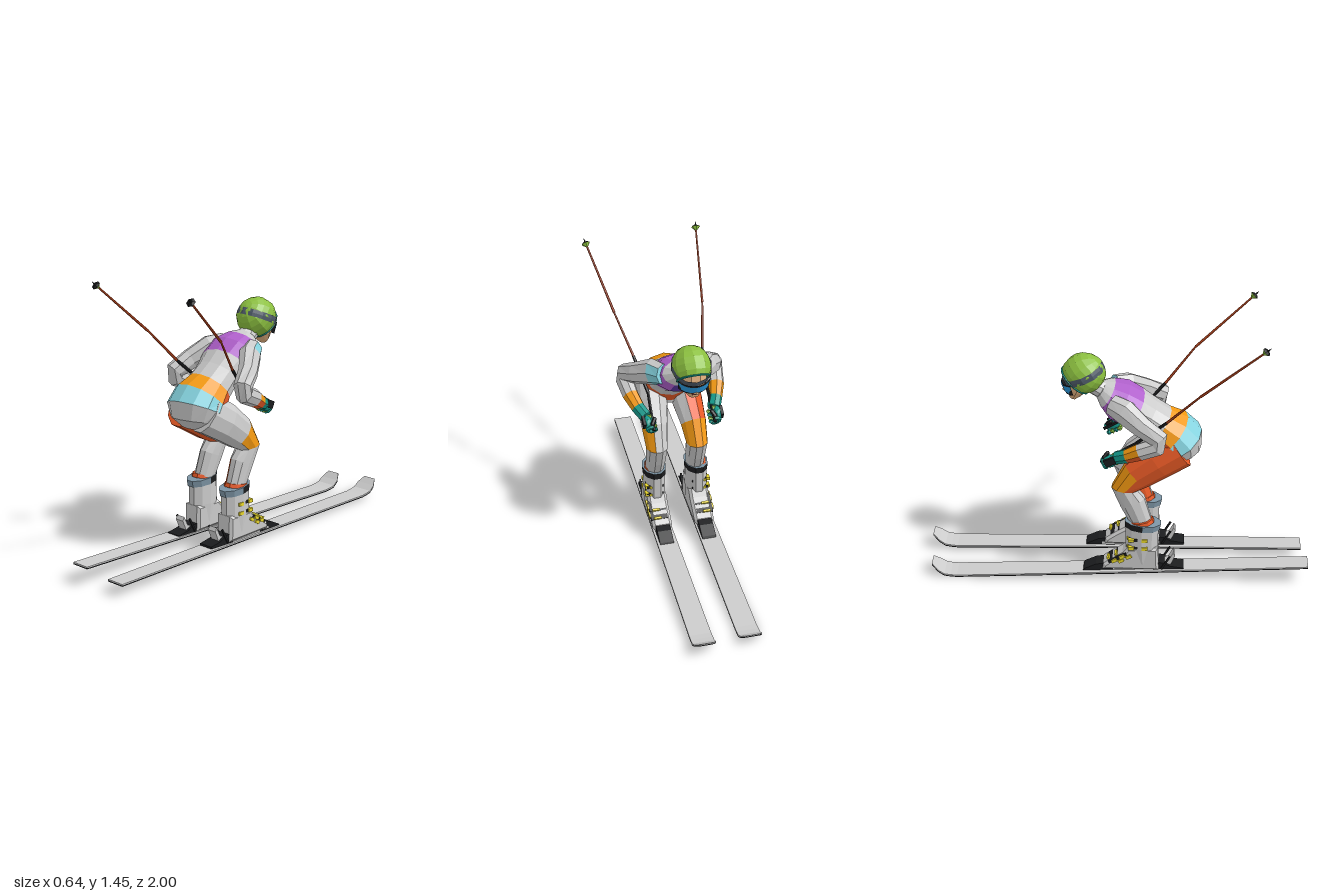
import * as THREE from 'three';

const GREY = 0xcccccc, BLACK = 0x1b1c1e, SLATE = 0x4c5866, STEEL = 0x7d95a5, GREEN = 0x8cc040,
  PURPLE = 0xb060cc, VIOLET = 0x5a35a0, CYAN = 0x86d4e0, ORANGE = 0xf59a12, RED = 0xe85a26,
  TEAL = 0x159a8c, YELLOW = 0xe8d62a, SKIN = 0xe6b482, BLUE = 0x2a9ae0;

const mat = c => new THREE.MeshStandardMaterial({ color: c, flatShading: true, side: THREE.DoubleSide });
function add(parent, name, geo, color, pos = [0, 0, 0], rot = [0, 0, 0], scale = [1, 1, 1]) {
  const m = new THREE.Mesh(geo, mat(color));
  m.name = name;
  m.position.set(...pos); m.rotation.set(...rot); m.scale.set(...scale);
  parent.add(m);
  return m;
}

// Skin rings [x, y, z, halfWidth, halfDepth] along a path; colorAt(band, cos, sin) picks a panel colour
function loft(parent, name, rings, colorAt = () => GREY, n = 10) {
  const c = rings.map(r => new THREE.Vector3(r[0], r[1], r[2]));
  const pts = rings.map((r, i) => {
    const T = c[Math.min(i + 1, c.length - 1)].clone().sub(c[Math.max(i - 1, 0)]).normalize();
    const S = new THREE.Vector3(1, 0, 0).addScaledVector(T, -T.x).normalize();
    const O = T.clone().cross(S);
    return Array.from({ length: n }, (_, j) => {
      const a = j / n * Math.PI * 2;
      return c[i].clone().addScaledVector(S, Math.cos(a) * r[3]).addScaledVector(O, Math.sin(a) * r[4]);
    });
  });
  const panels = new Map();
  const put = (color, ...vs) => {
    if (!panels.has(color)) panels.set(color, []);
    vs.forEach(v => panels.get(color).push(v.x, v.y, v.z));
  };
  const last = rings.length - 1;
  for (let j = 0; j < n; j++) {
    const k = (j + 1) % n, a = (j + 0.5) / n * Math.PI * 2;
    for (let i = 0; i < last; i++) {
      const [p, q, r, s] = [pts[i][j], pts[i][k], pts[i + 1][k], pts[i + 1][j]];
      put(colorAt(i, Math.cos(a), Math.sin(a)), p, q, r, p, r, s);
    }
    put(colorAt(0, 0, 0), c[0], pts[0][k], pts[0][j]);
    put(colorAt(last - 1, 0, 0), c[last], pts[last][j], pts[last][k]);
  }
  const g = new THREE.Group();
  g.name = name;
  for (const [color, arr] of panels) {
    const geo = new THREE.BufferGeometry();
    geo.setAttribute('position', new THREE.Float32BufferAttribute(arr, 3));
    geo.computeVertexNormals();
    add(g, name + 'Panel', geo, color);
  }
  parent.add(g);
}

// Side outline given as (z, y) points, extruded across x
function sideProfile(parent, name, pts, width, x, color, bevel = 0) {
  const geo = new THREE.ExtrudeGeometry(new THREE.Shape(pts.map(p => new THREE.Vector2(...p))), {
    depth: width - 2 * bevel, bevelEnabled: bevel > 0, bevelSize: bevel, bevelThickness: bevel,
    bevelOffset: -bevel, bevelSegments: 1 });
  geo.translate(0, 0, bevel - width / 2).rotateY(-Math.PI / 2);
  add(parent, name, geo, color, [x, 0, 0]);
}

// Ski layer: a long box bent along (z, y) points, with a rounded tip
function skiLayer(parent, name, path, x0, x1, lift, color) {
  const geo = new THREE.BoxGeometry(1, 0.006, 1, 6, 1, 60), p = geo.attributes.position;
  const zr = path[0][0], zt = path[path.length - 1][0];
  for (let i = 0; i < p.count; i++) {
    const t = 0.5 - p.getZ(i), z = zr + (zt - zr) * t;
    let k = 0;
    while (k < path.length - 2 && z < path[k + 1][0]) k++;
    const [za, ya] = path[k], [zb, yb] = path[k + 1];
    const y = ya + (yb - ya) * (z - za) / (zb - za);
    const u = Math.max(0, 1 - (z - zt) / 0.05);
    const w = (0.098 + 0.016 * t) * Math.sqrt(1 - 0.6 * u * u);
    p.setXYZ(i, x0 + (x1 - x0) * t + p.getX(i) * w, y + p.getY(i) + lift, z);
  }
  geo.computeVertexNormals();
  add(parent, name, geo, color);
}

// One side's ski, binding and boot; s = +1 left, -1 right
function skiAndBoot(parent, s, x, path, x0, x1) {
  const g = new THREE.Group();
  g.name = s > 0 ? 'plusXSkiAndBoot' : 'minusXSkiAndBoot';
  parent.add(g);
  skiLayer(g, 'skiTop', path, x0, x1, 0.008, GREY);
  skiLayer(g, 'skiBase', path, x0, x1, 0.002, BLACK);
  sideProfile(g, 'toeBinding', [[-0.02, 0.05], [-0.18, 0.04], [-0.17, 0.055], [-0.11, 0.085], [-0.05, 0.095], [-0.02, 0.075]], 0.075, x, BLACK);
  sideProfile(g, 'heelBinding', [[0.35, 0.064], [0.35, 0.075], [0.28, 0.085], [0.24, 0.105], [0.2, 0.11], [0.19, 0.056]], 0.08, x, BLACK);
  sideProfile(g, 'heelLever', [[0.23, 0.09], [0.28, 0.08], [0.305, 0.14], [0.295, 0.16], [0.27, 0.11]], 0.05, x, GREY);
  for (const e of [-1, 1])
    add(g, 'brakeArm', new THREE.BoxGeometry(0.008, 0.09, 0.01), BLACK, [x + e * 0.045, 0.11, 0.255], [0.5, 0, 0]);
  // boot shell, sole and cuff
  sideProfile(g, 'bootFoot', [[0.22, 0.062], [0.215, 0.2], [0.06, 0.2], [0.03, 0.165], [-0.03, 0.125], [-0.07, 0.095], [-0.075, 0.062]], 0.106, x, GREY, 0.014);
  sideProfile(g, 'bootSole', [[0.22, 0.057], [0.22, 0.066], [-0.09, 0.066], [-0.09, 0.05]], 0.075, x, GREY);
  loft(g, 'bootCuff', [[x, 0.1, 0.135, 0.054, 0.08], [x, 0.2, 0.13, 0.06, 0.088], [x, 0.315, 0.13, 0.059, 0.09]]);
  loft(g, 'cuffBand', [[x, 0.308, 0.132, 0.062, 0.094], [x, 0.343, 0.135, 0.064, 0.098]], (i, c, sn) => sn > 0.3 ? BLACK : STEEL);
  loft(g, 'bootLiner', [[x, 0.335, 0.125, 0.055, 0.07], [x, 0.355, 0.122, 0.052, 0.064]], () => RED);
  // straps with buckles on the outer side
  for (const [y, z, r] of [[0.255, 0.11, 0], [0.205, 0.11, 0], [0.15, 0.045, 0.5], [0.125, 0.005, 0.5]]) {
    add(g, 'strap', new THREE.BoxGeometry(0.09, 0.016, 0.06), BLACK, [x + s * 0.01, y, z - 0.02], [-r, 0, 0]);
    for (const dz of [-0.035, 0.035])
      add(g, 'buckle', new THREE.BoxGeometry(0.018, 0.018, 0.03), YELLOW, [x + s * 0.053, y, z + dz * (r ? 0.5 : 1)], [-r, 0, 0]);
    add(g, 'frontBuckle', new THREE.BoxGeometry(0.04, 0.012, 0.012), YELLOW, [x + s * 0.02, y, z - 0.05], [-r, 0, 0]);
  }
}

// Bent pole with grip, basket and spike; points run from tip to hand
function pole(parent, pts) {
  const g = new THREE.Group(), v = pts.map(p => new THREE.Vector3(...p)), up = new THREE.Vector3(0, 1, 0);
  g.name = 'skiPole';
  parent.add(g);
  const rod = (name, a, b, ra, rb, color) => {
    const d = b.clone().sub(a);
    add(g, name, new THREE.CylinderGeometry(rb, ra, d.length(), 6), color, a.clone().add(b).multiplyScalar(0.5).toArray())
      .quaternion.setFromUnitVectors(up, d.normalize());
  };
  for (let i = 0; i < v.length - 1; i++)
    rod(i < 2 ? 'shaft' : 'grip', v[i], v[i + 1], i < 2 ? 0.005 : 0.008, i < 2 ? 0.007 : 0.009, i < 2 ? 0xc24a20 : BLACK);
  const d = v[0].clone().sub(v[1]).normalize(), at = k => v[0].clone().addScaledVector(d, k);
  rod('basket', at(-0.025), at(-0.005), 0.005, 0.024, GREEN);
  rod('basketRim', at(-0.005), at(0.003), 0.024, 0.012, BLACK);
  rod('spike', at(0), at(0.025), 0.006, 0.001, BLACK);
}

function glove(parent, s, pos) {
  const g = new THREE.Group();
  g.name = s > 0 ? 'plusXGlove' : 'minusXGlove';
  g.position.set(...pos);
  g.rotation.x = -0.45;
  g.scale.x = s;
  parent.add(g);
  add(g, 'palm', new THREE.IcosahedronGeometry(0.035, 1), TEAL, [0.018, 0, 0], [0, 0, 0], [0.7, 0.95, 1.15]);
  add(g, 'backPlate', new THREE.BoxGeometry(0.014, 0.04, 0.055), BLACK, [0.038, 0.008, 0]);
  for (let k = 0; k < 4; k++)
    add(g, 'finger', new THREE.TorusGeometry(0.023, 0.0115, 6, 7, 4.6), k % 2 ? GREEN : TEAL,
      [0, -0.008, -0.036 + k * 0.02], [0, 0, 0.3 - Math.PI]);
  add(g, 'thumb', new THREE.CapsuleGeometry(0.011, 0.03, 2, 6), BLACK, [-0.008, 0.026, -0.015], [1.2, 0, 0.5]);
}

function head(parent) {
  const g = new THREE.Group();
  g.name = 'head';
  g.position.set(-0.055, 1.155, -0.17);
  parent.add(g);
  const size = [0.1, 0.104, 0.111], cut = 0.69 * Math.PI;
  // helmet opens forward and down
  const shell = new THREE.SphereGeometry(1, 12, 7, 0, Math.PI * 2, 0, cut).rotateX(Math.PI / 4);
  add(g, 'helmetShell', shell, GREEN, [0, 0, 0], [0, 0, 0], size);
  const rim = new THREE.TorusGeometry(Math.sin(cut), 0.05, 5, 18).rotateX(Math.PI / 2)
    .translate(0, Math.cos(cut), 0).rotateX(Math.PI / 4);
  add(g, 'helmetRim', rim, TEAL, [0, 0, 0], [0, 0, 0], size);
  const strap = new THREE.SphereGeometry(1.02, 12, 2, 0, Math.PI * 2, 0.43 * Math.PI, 0.11 * Math.PI).rotateX(-0.45);
  add(g, 'goggleStrap', strap, SLATE, [0, 0, 0], [0, 0, 0], size);
  // face
  loft(g, 'face', [[0, 0.03, -0.015, 0.075, 0.075], [0, -0.04, -0.028, 0.072, 0.07], [0, -0.085, -0.035, 0.06, 0.053],
    [0, -0.12, -0.05, 0.04, 0.032], [0, -0.14, -0.056, 0.022, 0.018]], () => SKIN);
  add(g, 'nose', new THREE.ConeGeometry(0.013, 0.038, 4), SKIN, [0, -0.08, -0.092], [0.25, 0, 0]);
  add(g, 'lips', new THREE.BoxGeometry(0.032, 0.011, 0.015), 0xa84a44, [0, -0.107, -0.078]);
  // goggles wrap round the front
  const band = (r, h) => new THREE.CylinderGeometry(r, r * 0.95, h, 10, 1, true, Math.PI * 0.65, Math.PI * 0.7);
  add(g, 'goggleFrame', band(0.093, 0.06), BLACK, [0, -0.048, -0.016], [-0.25, 0, 0]);
  add(g, 'goggleLens', band(0.096, 0.042), BLUE, [0, -0.048, -0.017], [-0.25, 0, 0], [0.95, 1, 1]);
}

export function createModel() {
  const model = new THREE.Group();
  model.name = 'skier';

  skiAndBoot(model, 1, 0.07, [[0.975, 0.058], [0.2, 0.044], [-0.2, 0.036], [-0.88, 0.02], [-0.94, 0.03], [-1, 0.08]], 0.065, 0.068);
  skiAndBoot(model, -1, -0.16, [[1, 0.094], [0.2, 0.052], [-0.2, 0.032], [-0.86, 0.002], [-0.92, 0.012], [-0.975, 0.062]], -0.155, -0.175);

  // racing suit: torso from seat to neck
  loft(model, 'torso', [
    [-0.03, 0.675, 0.325, 0.07, 0.05], [-0.03, 0.715, 0.32, 0.13, 0.11], [-0.035, 0.765, 0.305, 0.16, 0.138],
    [-0.038, 0.81, 0.268, 0.152, 0.128], [-0.038, 0.86, 0.205, 0.127, 0.105], [-0.04, 0.915, 0.14, 0.125, 0.095],
    [-0.045, 0.96, 0.08, 0.14, 0.098], [-0.05, 1.005, 0.008, 0.148, 0.1], [-0.05, 1.045, -0.05, 0.115, 0.07],
    [-0.05, 1.068, -0.085, 0.065, 0.045]],
  (i, c, s) => {
    if (i === 2) return s < 0.2 ? CYAN : GREY;
    if (i === 3) return s < 0.2 ? ORANGE : RED;
    if (i === 7) return s > 0.8 ? VIOLET : PURPLE;
    return i === 6 ? PURPLE : GREY;
  }, 12);
  loft(model, 'neck', [[-0.05, 1.05, -0.055, 0.06, 0.05], [-0.053, 1.08, -0.11, 0.05, 0.045], [-0.055, 1.105, -0.15, 0.05, 0.045]]);

  // legs: hip, thigh, knee, calf
  const leg = [[0.765, 0.315, 0.085, 0.11], [0.695, 0.205, 0.082, 0.104], [0.615, 0.1, 0.068, 0.09], [0.535, 0.038, 0.057, 0.07],
    [0.455, 0.08, 0.054, 0.07], [0.34, 0.125, 0.049, 0.058]];
  const legRings = xs => leg.map(([y, z, w, d], i) => [xs[i], y, z, w, d]);
  loft(model, 'plusXLeg', legRings([0.04, 0.06, 0.07, 0.074, 0.07, 0.068]),
    (i, c, s) => i === 2 && c > 0.3 && s < 0.5 ? ORANGE : i === 4 && c < 0 && s > 0 ? RED : GREY);
  loft(model, 'minusXLeg', legRings([-0.115, -0.128, -0.138, -0.142, -0.145, -0.152]),
    (i, c, s) => i < 2 && (c < 0.2 || s > 0.3) ? RED : i === 2 ? (s < -0.3 ? ORANGE : RED) : GREY);

  // arms: shoulder, elbow, wrist
  const arm = [[1.03, -0.025, 0.05, 0.055], [1.01, 0.04, 0.056, 0.068], [0.955, 0.13, 0.05, 0.056], [0.905, 0.215, 0.046, 0.05],
    [0.868, 0.205, 0.046, 0.05], [0.828, 0.12, 0.042, 0.046], [0.79, 0.055, 0.036, 0.038], [0.765, 0.0, 0.034, 0.034]];
  const armRings = xs => arm.map(([y, z, w, d], i) => [xs[i], y, z, w, d]);
  const armColor = shoulder => (i, c, s) => i < 1 && s < 0.5 ? shoulder : i === 5 ? (s > 0 ? RED : ORANGE) : i === 6 ? TEAL : GREY;
  loft(model, 'plusXArm', armRings([0.05, 0.09, 0.158, 0.2, 0.204, 0.192, 0.168, 0.14]), armColor(CYAN), 8);
  loft(model, 'minusXArm', armRings([-0.145, -0.185, -0.24, -0.27, -0.272, -0.262, -0.242, -0.22]), armColor(GREY), 8);

  glove(model, 1, [0.12, 0.75, -0.03]);
  glove(model, -1, [-0.212, 0.75, -0.03]);
  pole(model, [[0.3, 1.43, 0.68], [0.215, 1.17, 0.385], [0.15, 0.99, 0.235], [0.105, 0.845, 0.1], [0.115, 0.73, -0.08]]);
  pole(model, [[-0.3, 1.43, 0.72], [-0.26, 1.15, 0.41], [-0.22, 0.975, 0.25], [-0.205, 0.845, 0.1], [-0.208, 0.73, -0.08]]);
  head(model);
  return model;
}
